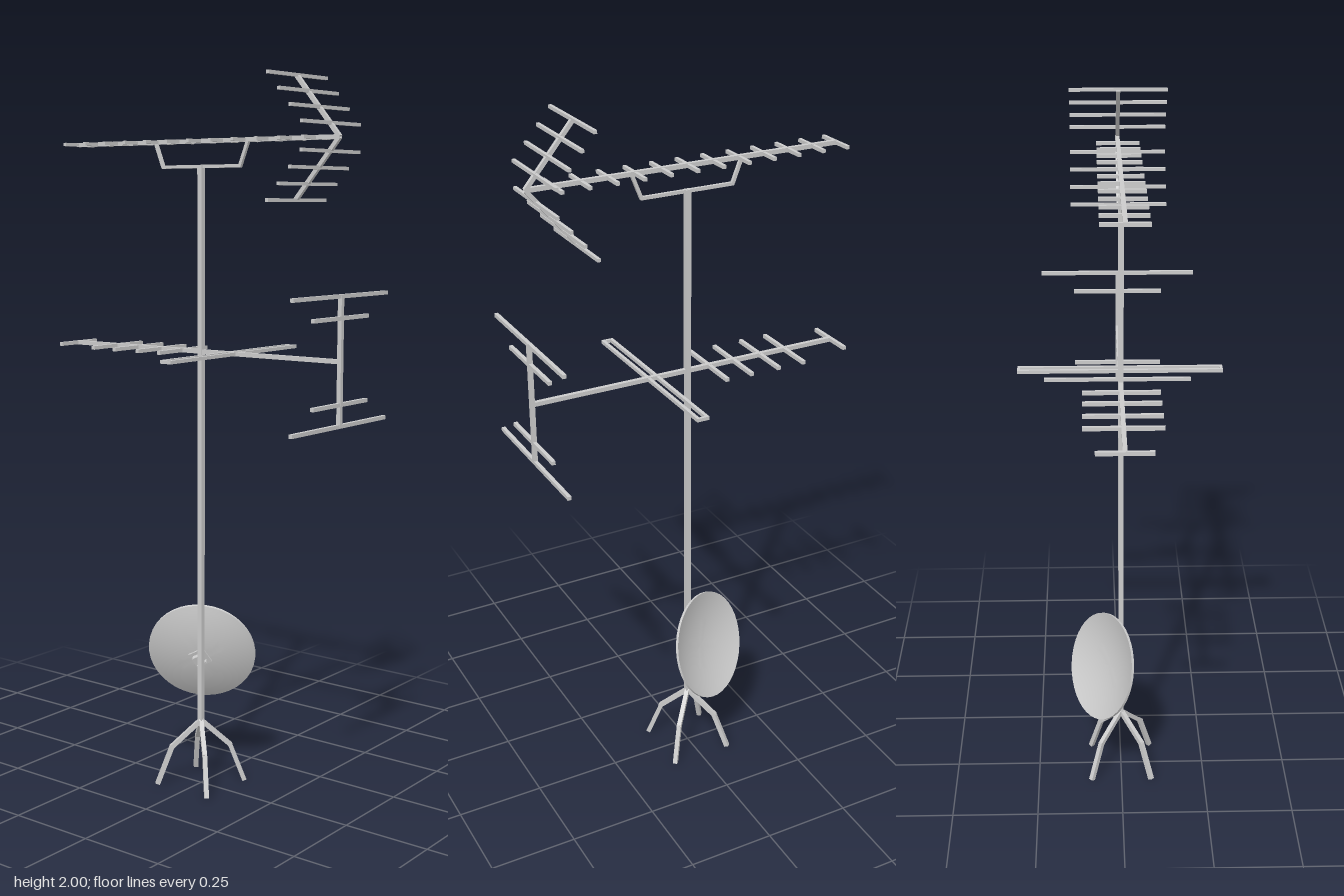
import * as THREE from 'three';
import { toCreasedNormals } from 'three/addons/utils/BufferGeometryUtils.js';

const grey = new THREE.MeshStandardMaterial({ color: 0xcccccc });
const UP = new THREE.Vector3(0, 1, 0);

function add(parent, geometry, name) {
  const mesh = new THREE.Mesh(geometry, grey);
  mesh.name = name;
  parent.add(mesh);
  return mesh;
}

// square bar of width w between two points
function bar(parent, name, a, b, w) {
  const p = new THREE.Vector3(...a), q = new THREE.Vector3(...b);
  const mesh = add(parent, new THREE.BoxGeometry(w, w, p.distanceTo(q)), name);
  mesh.position.copy(p).add(q).multiplyScalar(0.5);
  mesh.lookAt(q);
}

// chain of bars through several points, overlapping a little at the bends
function bentBar(parent, name, points, w) {
  for (let i = 1; i < points.length; i++) {
    const a = new THREE.Vector3(...points[i - 1]), b = new THREE.Vector3(...points[i]);
    const lap = b.clone().sub(a).setLength(w * 0.25);
    if (i > 1) a.sub(lap);
    if (i < points.length - 1) b.add(lap);
    bar(parent, name, a.toArray(), b.toArray(), w);
  }
}

// square cross element running along x
function element(parent, name, half, y, z, t = 0.0105) {
  add(parent, new THREE.BoxGeometry(half * 2, t, t), name).position.set(0, y, z);
}

function group(parent, name) {
  const g = new THREE.Group();
  g.name = name;
  parent.add(g);
  return g;
}

export function createModel() {
  const model = new THREE.Group();
  model.name = 'antennaMast';

  // mast and four-legged stand
  bar(model, 'mast', [0, 0.185, 0], [0, 1.772, 0], 0.015);
  const stand = group(model, 'stand');
  for (const sx of [-1, 1]) for (const sz of [-1, 1])
    bentBar(stand, 'leg', [[0, 0.19, 0], [sx * 0.06, 0.113, sz * 0.06], [sx * 0.09, 0.002, sz * 0.09]], 0.013);

  // upper antenna: boom, directors, cradle and V-shaped reflector
  const upper = group(model, 'upperAntenna');
  const yTop = 1.836;
  bar(upper, 'upperBoom', [0, yTop, -0.452], [0, yTop, 0.45], 0.012);
  for (let i = 0; i < 12; i++) element(upper, 'upperDirector', 0.061, yTop, -0.45 + i * 0.075, 0.0095);
  bentBar(upper, 'cradle', [[0, yTop, 0.16], [0, 1.768, 0.133], [0, 1.768, -0.133], [0, yTop, -0.16]], 0.009);
  for (const s of [-1, 1]) {
    bar(upper, 'reflectorArm', [0, yTop, 0.448], [0, yTop + s * 0.159, 0.314], 0.011);
    for (let i = 0; i < 4; i++)
      element(upper, 'reflectorRod', 0.135, yTop + s * (0.0355 + i * 0.0413), 0.421 - i * 0.0348, 0.009);
  }

  // lower antenna: boom, directors, folded dipole and H-shaped reflector
  const lower = group(model, 'lowerAntenna');
  const yLow = 1.261;
  bar(lower, 'lowerBoom', [0, yLow, -0.463], [0, yLow, 0.46], 0.012);
  for (const z of [-0.308, -0.228, -0.143, -0.066]) element(lower, 'lowerDirector', 0.107, yLow, z);
  element(lower, 'endDirector', 0.075, yLow, -0.462);
  for (const z of [0.094, 0.12]) element(lower, 'dipoleBar', 0.288, yLow, z, 0.0095);
  for (const s of [-1, 1]) {
    add(lower, new THREE.BoxGeometry(0.008, 0.0095, 0.03), 'dipoleEnd').position.set(s * 0.284, yLow, 0.107);
    element(lower, 'longReflector', 0.225, yLow + s * 0.17, 0.459);
    element(lower, 'shortReflector', 0.13, yLow + s * 0.113, 0.459);
  }
  bar(lower, 'reflectorPost', [0, yLow - 0.172, 0.459], [0, yLow + 0.172, 0.459], 0.012);

  // dish: shallow bowl with a thick rim, opening along its own +y, tilted up and away from the mast
  const dish = group(model, 'dish');
  dish.position.set(0.057, 0.377, -0.041);
  dish.quaternion.setFromUnitVectors(UP, new THREE.Vector3(0.825, 0.31, -0.47).normalize());
  const R = 0.157, depth = 0.032, n = 10, profile = [];
  const bowl = (u, lift) => new THREE.Vector2(R * u, depth * (u * u - 1) + lift);
  for (let i = 0; i <= n; i++) profile.push(bowl(i / n, -0.004));
  for (let i = n; i >= 0; i--) profile.push(bowl(i / n, 0.004));
  add(dish, toCreasedNormals(new THREE.LatheGeometry(profile, 40), 0.7), 'bowl');

  // dish mount: back plate with two lugs and a thin arm to the mast
  add(dish, new THREE.BoxGeometry(0.05, 0.006, 0.05), 'backPlate').position.y = -depth - 0.005;
  for (const s of [-1, 1])
    add(dish, new THREE.BoxGeometry(0.005, 0.016, 0.03), 'lug').position.set(s * 0.013, -depth - 0.015, 0);
  bar(model, 'mountArm', [0, 0.367, 0], [0.03, 0.367, -0.024], 0.009);

  return model;
}
